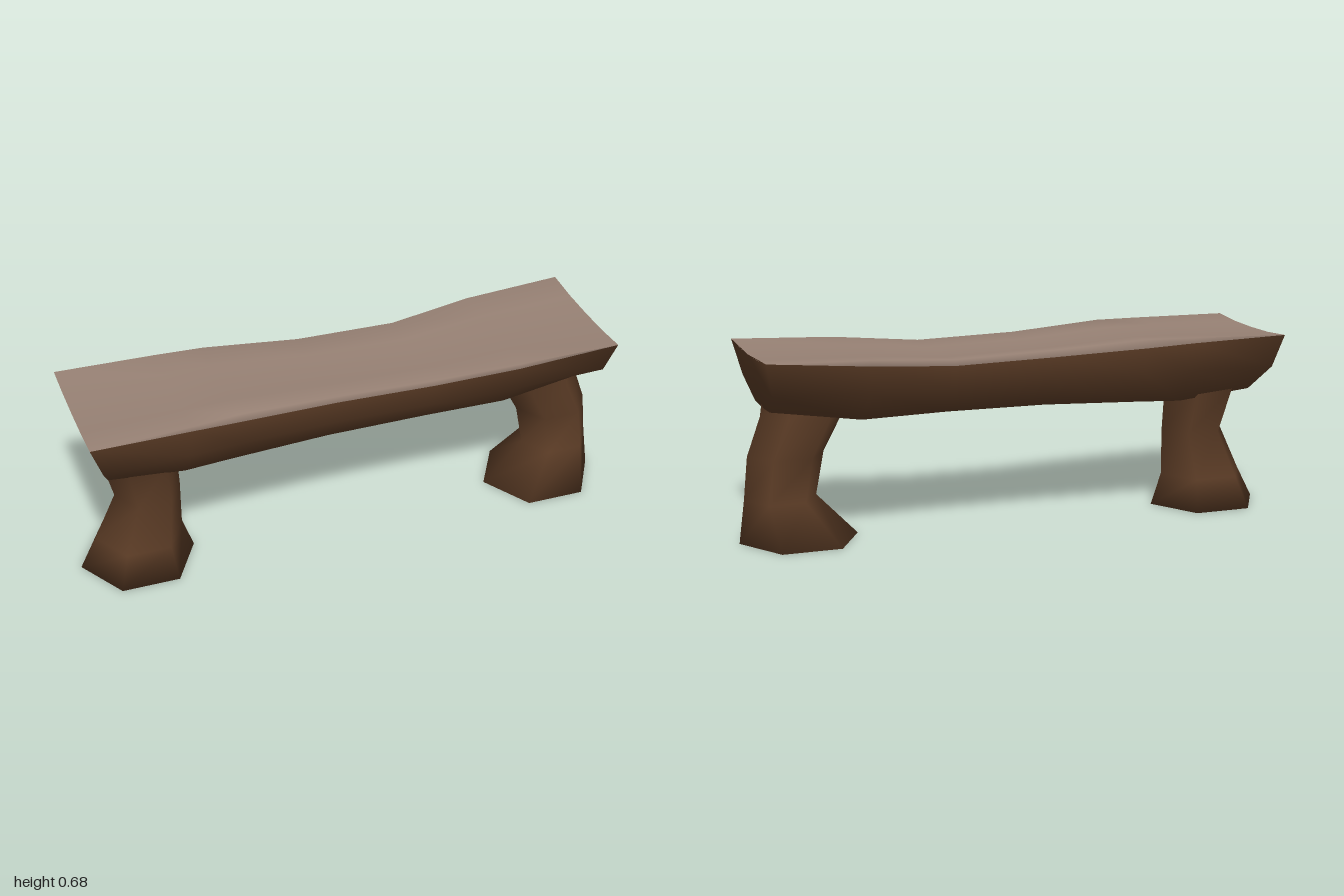
import * as THREE from 'three';

// Skin a surface over rows of [x, y, z] points; optional hub points cap the first and last row
function loft(rows, { closed = false, startHub, endHub } = {}) {
  const n = rows[0].length, pos = rows.flat(2), index = [];
  const spans = closed ? n : n - 1;
  for (let i = 0; i < rows.length - 1; i++) {
    for (let j = 0; j < spans; j++) {
      const k = (j + 1) % n;
      const a = i * n + j, b = i * n + k, c = b + n, d = a + n;
      index.push(a, b, c, a, c, d);
    }
  }
  const cap = (hub, first, flip) => {
    const h = pos.length / 3;
    pos.push(...hub);
    for (let j = 0; j < spans; j++) {
      const a = first + j, b = first + (j + 1) % n;
      index.push(h, ...(flip ? [b, a] : [a, b]));
    }
  };
  if (startHub) cap(startHub, 0, true);
  if (endHub) cap(endHub, (rows.length - 1) * n, false);
  const g = new THREE.BufferGeometry();
  g.setAttribute('position', new THREE.Float32BufferAttribute(pos, 3));
  g.setIndex(index);
  g.computeVertexNormals();
  return g;
}

// Six-sided leg from rings of [y, xMin, xMax, half depth]
function legGeometry(rings) {
  const rows = rings.map(([y, x0, x1, hz]) => {
    const row = [];
    for (let k = 0; k < 6; k++) {
      const t = Math.PI / 6 + k * Math.PI / 3;
      row.push([(x0 + x1) / 2 + Math.sin(t) * (x1 - x0) / 2, y, Math.cos(t) / Math.cos(Math.PI / 6) * hz]);
    }
    return row;
  });
  const [y, x0, x1] = rings[0];
  return loft(rows, { closed: true, startHub: [(x0 + x1) / 2, y, 0] });
}

export function createModel() {
  const group = new THREE.Group();
  const bark = new THREE.MeshStandardMaterial({ color: 0x5a3b25 });
  bark.name = 'dark bark';
  const cutWood = new THREE.MeshStandardMaterial({ color: 0x978174 });
  cutWood.name = 'pale cut wood';
  const add = (name, geometry, material) => {
    const mesh = new THREE.Mesh(geometry, material);
    mesh.name = name;
    group.add(mesh);
  };

  // Log stations: top x, bottom x, top y, half width, pale edge depth, mid y, mid half width, bottom y, bottom half width
  const stations = [
    [-0.985, -0.905, 0.666, 0.266, 0, 0.55, 0.253, 0.45, 0.14],
    [-0.63, -0.63, 0.673, 0.246, 0.02, 0.55, 0.235, 0.42, 0.13],
    [-0.45, -0.45, 0.676, 0.232, 0.033, 0.55, 0.222, 0.428, 0.125],
    [-0.1, -0.1, 0.655, 0.207, 0.026, 0.545, 0.2, 0.442, 0.12],
    [0.27, 0.27, 0.646, 0.213, 0.023, 0.54, 0.2, 0.444, 0.12],
    [0.58, 0.58, 0.67, 0.25, 0.022, 0.55, 0.222, 0.437, 0.115],
    [0.95, 0.905, 0.683, 0.266, 0, 0.56, 0.22, 0.485, 0.108],
  ];
  const dish = 0.012;
  const bodyRows = [], topRows = [];
  for (const [x, xb, top, w, edge, my, mw, by, bw] of stations) {
    const xm = x + (xb - x) * (top - my) / (top - by);
    const we = w - (w - mw) * edge / (top - my);
    bodyRows.push([
      [x, top - edge, we], [xm, my, mw], [xb, by, bw], [xb, by - 0.004, 0],
      [xb, by, -bw], [xm, my, -mw], [x, top - edge, -we],
    ]);
    topRows.push([
      [x, top - edge, -we], [x, top, -w], [x, top - dish * 0.8, -w / 2], [x, top - dish, 0],
      [x, top - dish * 0.8, w / 2], [x, top, w], [x, top - edge, we],
    ]);
  }
  const last = stations.length - 1;
  add('seatLog', loft(bodyRows, { startHub: topRows[0][3], endHub: topRows[last][3] }), bark);
  add('seatTop', loft(topRows), cutWood);

  // Legs, flared at the feet and sunk into the log
  add('rightLeg', legGeometry([
    [0, -1, -0.58, 0.186], [0.115, -0.94, -0.62, 0.145], [0.285, -0.86, -0.62, 0.11],
    [0.46, -0.905, -0.63, 0.148], [0.53, -0.92, -0.64, 0.16],
  ]), bark);
  add('leftLeg', legGeometry([
    [0, 0.57, 1, 0.186], [0.155, 0.72, 0.98, 0.108], [0.31, 0.69, 0.965, 0.108],
    [0.45, 0.615, 0.915, 0.108], [0.52, 0.6, 0.905, 0.108],
  ]), bark);
  return group;
}
